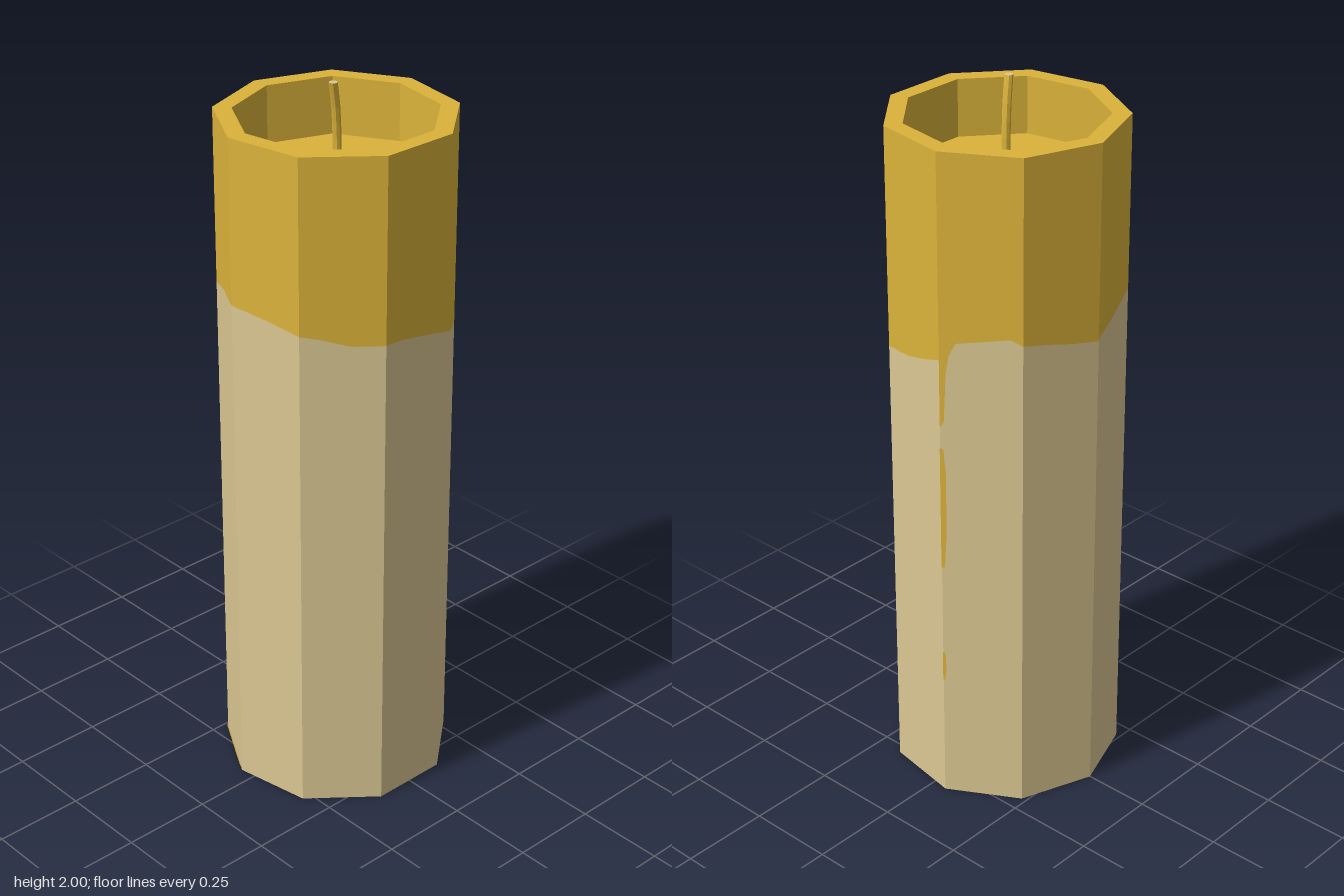
import * as THREE from 'three';

const SIDES = 9, OUTER = 0.32, INNER = 0.27, CENTRE_Z = 0.01;
const TOP = 1.91, FLOOR = 1.75;

// Lower edge of the gold band on each face: [fraction across face, height]
const WAVE = [
  [[0, 1.37], [0.35, 1.38], [0.7, 1.395], [1, 1.405]],
  [[0, 1.405], [0.15, 1.42], [0.4, 1.41], [0.8, 1.395], [0.88, 1.36], [0.92, 1.31], [0.95, 1.17], [1, 1.15]],
  [[0, 1.345], [0.25, 1.325], [0.6, 1.305], [1, 1.3]],
  [[0, 1.3], [0.2, 1.305], [0.5, 1.32], [0.8, 1.35], [1, 1.365]],
  [[0, 1.37], [0.5, 1.39], [0.8, 1.4], [1, 1.4]],
  [[0, 1.4], [0.4, 1.4], [0.75, 1.42], [1, 1.43]],
  [[0, 1.43], [0.5, 1.445], [1, 1.455]],
  [[0, 1.455], [0.5, 1.45], [1, 1.425]],
  [[0, 1.425], [0.5, 1.395], [1, 1.375]],
];

// Corner k of the nine-sided outline, starting at the back
function corner(k, r, y) {
  const a = (k * 2 * Math.PI) / SIDES;
  return new THREE.Vector3(r * Math.sin(a), y, CENTRE_Z - r * Math.cos(a));
}

// Point on face k, a fraction t of the way to the next corner
function onFace(k, t, y, r = OUTER) {
  return corner(k, r, y).lerp(corner(k + 1, r, y), t);
}

// Flat-shaded mesh from a list of convex polygons
function polyMesh(name, polygons, material) {
  const pos = [];
  for (const p of polygons) {
    for (let i = 1; i < p.length - 1; i++) {
      for (const v of [p[0], p[i], p[i + 1]]) pos.push(v.x, v.y, v.z);
    }
  }
  const geo = new THREE.BufferGeometry();
  geo.setAttribute('position', new THREE.Float32BufferAttribute(pos, 3));
  geo.computeVertexNormals();
  const mesh = new THREE.Mesh(geo, material);
  mesh.name = name;
  return mesh;
}

export function createModel() {
  const gold = new THREE.MeshStandardMaterial({ name: 'gold wax', color: 0xdbb33a });
  const cream = new THREE.MeshStandardMaterial({ name: 'cream wax', color: 0xdbc792 });
  const group = new THREE.Group();
  group.name = 'candle';

  const upper = [], lower = [], rim = [], well = [], floor = [], base = [];
  for (let k = 0; k < SIDES; k++) {
    // Outer faces, split along the wavy edge
    const w = WAVE[k];
    for (let i = 0; i < w.length - 1; i++) {
      const [t0, y0] = w[i], [t1, y1] = w[i + 1];
      upper.push([onFace(k, t0, y0), onFace(k, t0, TOP), onFace(k, t1, TOP), onFace(k, t1, y1)]);
      lower.push([onFace(k, t0, 0), onFace(k, t0, y0), onFace(k, t1, y1), onFace(k, t1, 0)]);
    }
    // Rim and hollow
    rim.push([corner(k, OUTER, TOP), corner(k, INNER, TOP), corner(k + 1, INNER, TOP), corner(k + 1, OUTER, TOP)]);
    well.push([corner(k, INNER, FLOOR), corner(k + 1, INNER, FLOOR), corner(k + 1, INNER, TOP), corner(k, INNER, TOP)]);
    floor.unshift(corner(k, INNER, FLOOR));
    base.push(corner(k, OUTER, 0));
  }

  // Thin drips running down the wax: [face, t0, t1, bottom, top]
  const drips = [[1, 0.93, 1, 0.73, 1.09], [1, 0.96, 1, 0.37, 0.46], [7, 0.05, 1, 0, 0.012]].map(
    ([k, t0, t1, y0, y1]) => {
      const r = OUTER + 0.002, h = y1 - y0, d = (t1 - t0) * 0.4;
      return [
        onFace(k, t0 + d, y0, r), onFace(k, t0, y0 + h * 0.3, r), onFace(k, t0, y0 + h * 0.8, r),
        onFace(k, t0 + d, y1, r), onFace(k, t1, y1, r), onFace(k, t1, y0, r),
      ];
    }
  );

  group.add(
    polyMesh('goldBand', upper, gold),
    polyMesh('candleBody', lower, cream),
    polyMesh('rim', rim, gold),
    polyMesh('wellWall', well, gold),
    polyMesh('wellFloor', [floor], gold),
    polyMesh('base', [base], cream),
    polyMesh('drips', drips, gold)
  );

  // Wick: a thin cylinder bent along a curve, with a pale tip
  const path = new THREE.CatmullRomCurve3([
    new THREE.Vector3(0, FLOOR, 0.008),
    new THREE.Vector3(0, 1.84, 0.009),
    new THREE.Vector3(-0.009, 1.93, 0.014),
    new THREE.Vector3(-0.025, 2, 0.022),
  ]);
  const wickGeo = new THREE.CylinderGeometry(0.0115, 0.0115, 1, 8, 6);
  const p = wickGeo.attributes.position;
  for (let i = 0; i < p.count; i++) {
    const c = path.getPoint(THREE.MathUtils.clamp(p.getY(i) + 0.5, 0, 1));
    p.setXYZ(i, p.getX(i) + c.x, c.y, p.getZ(i) + c.z);
  }
  const flat = wickGeo.toNonIndexed();
  flat.computeVertexNormals();
  const wick = new THREE.Mesh(flat, [gold, cream, gold]);
  wick.name = 'wick';
  group.add(wick);

  return group;
}
